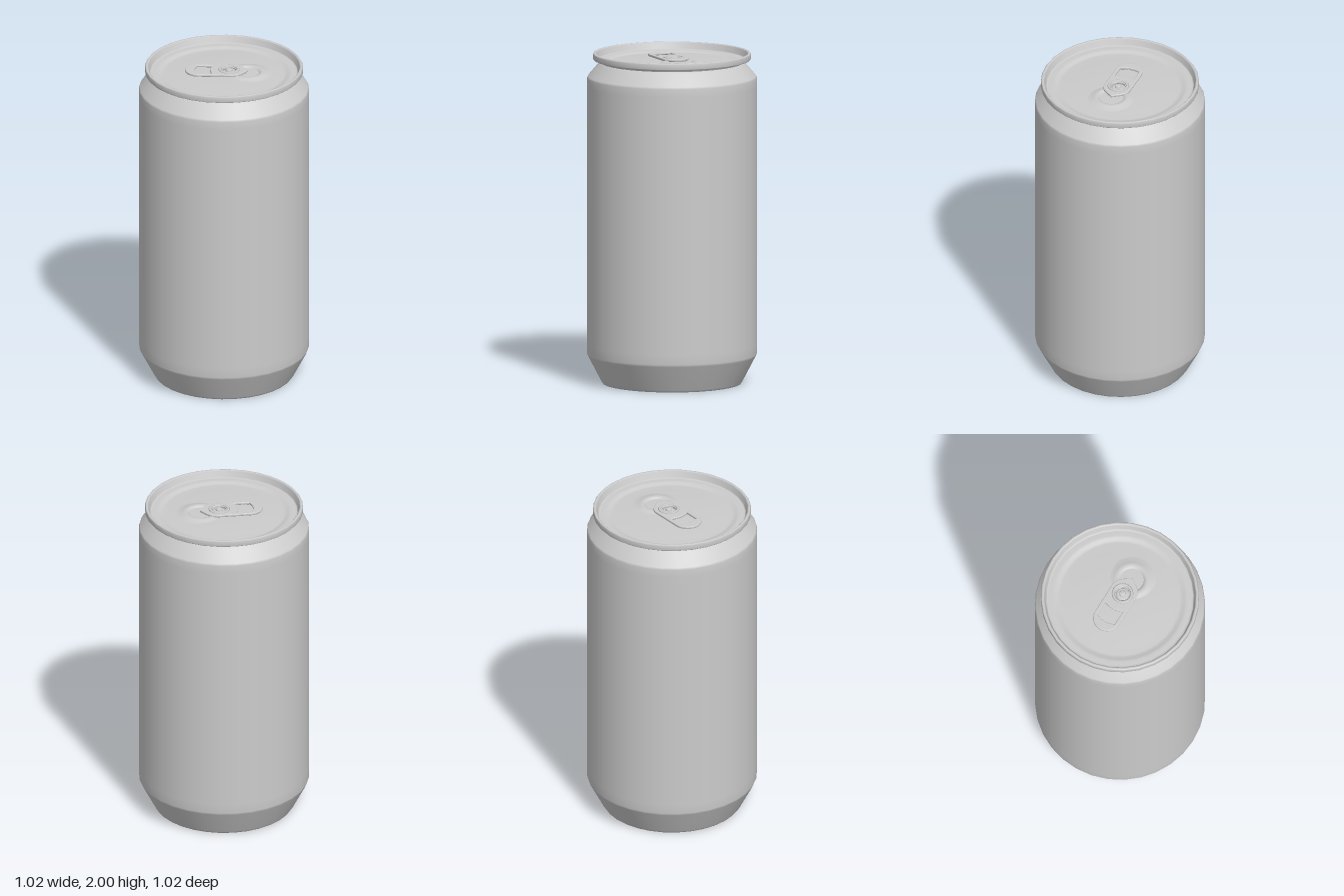
import * as THREE from 'three';

const SIDES = 32;
const material = new THREE.MeshStandardMaterial({ color: 0xcccccc, roughness: 0.6 });

export function createModel() {
  const can = new THREE.Group();
  can.name = 'drinkCan';

  const add = (name, geometry, x = 0, y = 0, z = 0) => {
    const mesh = new THREE.Mesh(geometry, material);
    mesh.name = name;
    mesh.position.set(x, y, z);
    can.add(mesh);
    return mesh;
  };
  // Turned part; the profile runs from underneath, outwards and up, then inwards
  const turn = (name, profile, x = 0, y = 0, z = 0, sides = SIDES) =>
    add(name, new THREE.LatheGeometry(profile.map(p => new THREE.Vector2(...p)), sides), x, y, z);

  // Flat centre of the underside
  turn('baseDisc', [[0, 0.055], [0.206, 0.055]]);

  // Dished underside, tapered foot, wall and shoulder
  turn('body', [
    [0.206, 0.055], [0.22, 0.063], [0.24, 0.078], [0.27, 0.07], [0.34, 0.035], [0.4, 0.003], [0.417, 0],
    [0.425, 0.012], [0.505, 0.165], [0.511, 0.18], [0.511, 0.24],
    [0.511, 1.8], [0.511, 1.85], [0.505, 1.862], [0.445, 1.932], [0.43, 1.945],
  ]);

  // Neck, rolled rim and its inner wall
  turn('rim', [
    [0.428, 1.93], [0.432, 1.952], [0.445, 1.959], [0.47, 1.96], [0.475, 1.965], [0.475, 1.993],
    [0.47, 2], [0.46, 2], [0.454, 1.994], [0.446, 1.962], [0.44, 1.957], [0.429, 1.957],
  ]);

  // Lid panel with a shallow groove and a gently raised middle
  turn('lid', [
    [0.43, 1.957], [0.405, 1.958], [0.39, 1.956], [0.375, 1.949], [0.36, 1.948],
    [0.3, 1.952], [0.2, 1.957], [0.1, 1.959], [0, 1.959],
  ]);

  // Raised bead around the pouring opening
  turn('openingBead', [
    [0.145, 1.955], [0.125, 1.959], [0.11, 1.963], [0.1, 1.967], [0.085, 1.967], [0.075, 1.962], [0.07, 1.956],
  ], 0.14);

  // Tab plate: rounded outline with a slightly pointed nose and a finger hole
  const outline = new THREE.Shape();
  outline.moveTo(-0.15, -0.078);
  outline.lineTo(0.05, -0.078);
  outline.bezierCurveTo(0.09, -0.078, 0.11, -0.04, 0.138, 0);
  outline.bezierCurveTo(0.11, 0.04, 0.09, 0.078, 0.05, 0.078);
  outline.lineTo(-0.15, 0.078);
  outline.absarc(-0.15, 0, 0.078, Math.PI / 2, Math.PI * 1.5, false);

  const finger = new THREE.Path();
  finger.moveTo(-0.165, -0.066);
  finger.quadraticCurveTo(-0.2, 0, -0.165, 0.066);
  finger.lineTo(-0.062, 0.066);
  finger.quadraticCurveTo(-0.092, 0, -0.062, -0.066);
  finger.closePath();

  const rivetHole = new THREE.Path();
  rivetHole.absarc(0.03, 0, 0.048, 0, Math.PI * 2, true);
  outline.holes.push(finger, rivetHole);

  const plate = new THREE.ExtrudeGeometry(outline, {
    depth: 0.006, bevelThickness: 0.005, bevelSize: 0.006, bevelSegments: 3, curveSegments: 12,
  });
  plate.rotateX(-Math.PI / 2);
  add('tab', plate, 0, 1.966, 0);

  // Collar around the rivet, the tongue holding it, and the rivet itself
  const collar = new THREE.TorusGeometry(0.056, 0.009, 6, 24);
  collar.rotateX(Math.PI / 2);
  collar.scale(1, 0.6, 1);
  add('rivetCollar', collar, 0.03, 1.977, 0);
  turn('rivetTongue', [[0.04, 1.958], [0.038, 1.966], [0.03, 1.969], [0, 1.969]], 0.03, 0, 0, 20);
  turn('rivet', [[0.02, 1.965], [0.02, 1.977], [0.015, 1.981], [0, 1.982]], 0.03, 0, 0, 16);

  return can;
}
